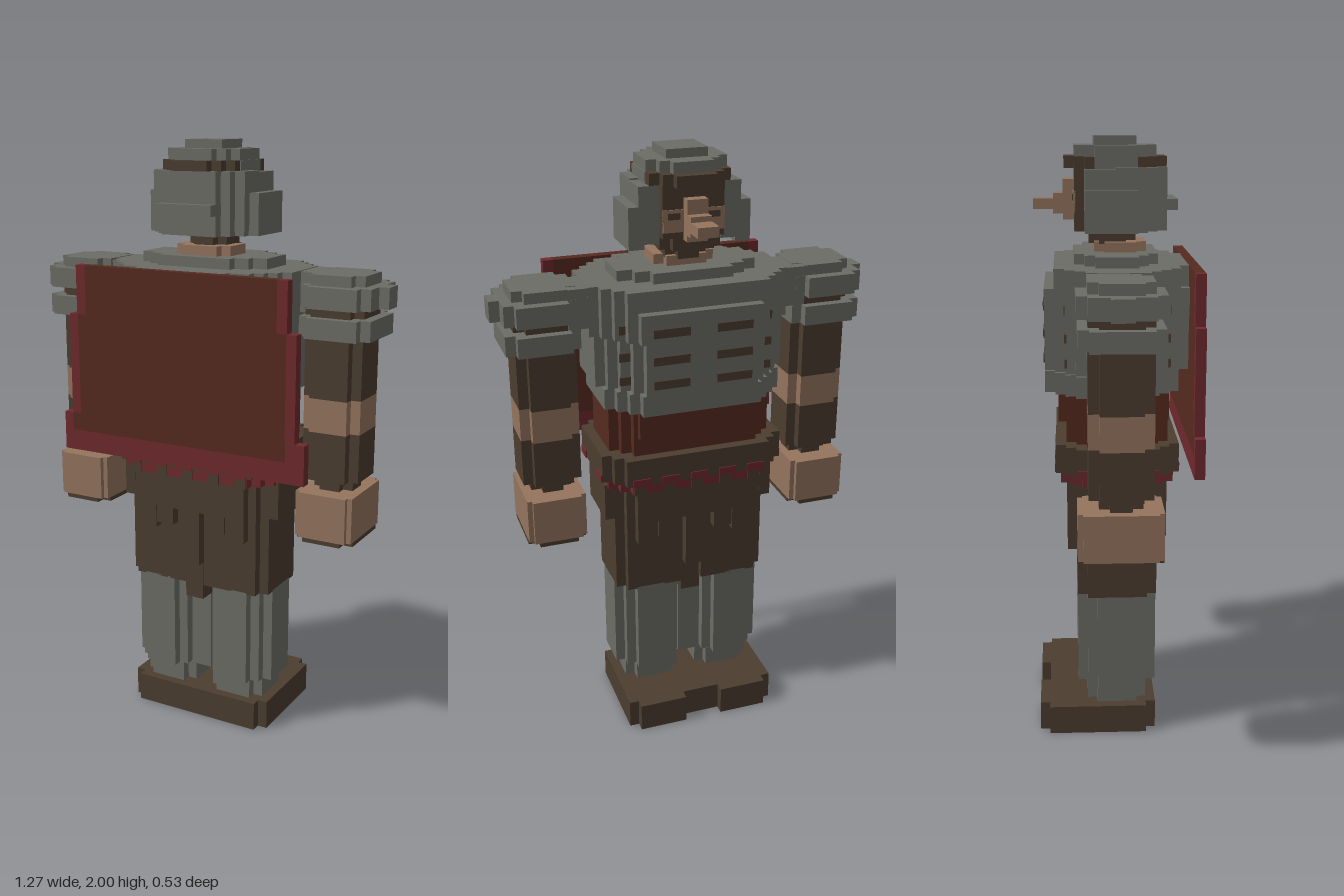
import * as THREE from 'three';

const V = 0.033; // voxel size
const mat = (name, color) => {
  const m = new THREE.MeshStandardMaterial({ color });
  m.name = name;
  return m;
};

export function createModel() {
  const grey = mat('armour grey', 0x6d6d67);
  const brown = mat('leather brown', 0x4c3d2f);
  const skin = mat('skin tan', 0x94745e);
  const rust = mat('rust cloth', 0x552a1f);
  const crimson = mat('crimson trim', 0x6f292d);
  const model = new THREE.Group();
  model.name = 'caped warrior';

  // Box given by its bounds
  const box = (name, m, x0, x1, y0, y1, z0, z1) => {
    const mesh = new THREE.Mesh(new THREE.BoxGeometry(x1 - x0, y1 - y0, z1 - z0), m);
    mesh.position.set((x0 + x1) / 2, (y0 + y1) / 2, (z0 + z1) / 2);
    mesh.name = name;
    model.add(mesh);
  };
  const boxPair = (name, m, x0, x1, ...rest) => {
    box(name + 'Left', m, x0, x1, ...rest);
    box(name + 'Right', m, -x1, -x0, ...rest);
  };

  // Slab with stair-stepped corners: n steps of sx by sz voxels
  const slab = (name, m, x0, x1, y0, y1, z0, z1, n = 1, sx = 1, sz = 1) => {
    const hx = (x1 - x0) / 2, hz = (z1 - z0) / 2;
    const corner = [];
    for (let i = 0; i <= n; i++) {
      corner.push([hx - i * sx * V, hz - (n - i) * sz * V]);
      if (i < n) corner.push([hx - (i + 1) * sx * V, hz - (n - i) * sz * V]);
    }
    const back = [...corner].reverse();
    const points = [
      ...corner.map(([x, z]) => [x, z]), ...back.map(([x, z]) => [-x, z]),
      ...corner.map(([x, z]) => [-x, -z]), ...back.map(([x, z]) => [x, -z]),
    ].map(([x, z]) => new THREE.Vector2(x, z));
    const geo = new THREE.ExtrudeGeometry(new THREE.Shape(points), { depth: y1 - y0, bevelEnabled: false });
    geo.rotateX(-Math.PI / 2);
    const mesh = new THREE.Mesh(geo, m);
    mesh.position.set((x0 + x1) / 2, y0, (z0 + z1) / 2);
    mesh.name = name;
    model.add(mesh);
  };
  const slabPair = (name, m, x0, x1, ...rest) => {
    slab(name + 'Left', m, x0, x1, ...rest);
    slab(name + 'Right', m, -x1, -x0, ...rest);
  };

  // Boots with a notch between the toes
  slabPair('boot', brown, 0.033, 0.267, 0, 0.1, -0.265, 0.132);
  box('bootBridge', brown, -0.068, 0.068, 0, 0.1, -0.232, 0.132);

  // Greaves
  slabPair('ankle', grey, 0.034, 0.232, 0.1, 0.17, -0.1, 0.1);
  slabPair('greave', grey, 0.018, 0.267, 0.17, 0.51, -0.132, 0.132, 2);
  box('greaveJoin', grey, -0.034, 0.034, 0.17, 0.51, -0.08, 0.08);
  boxPair('shinRidge', grey, 0.1, 0.2, 0.25, 0.51, -0.132, 0.132);

  // Trousers and hanging skirt strips
  slabPair('trouser', brown, 0, 0.267, 0.505, 0.8, -0.132, 0.132, 1);
  slab('hips', brown, -0.267, 0.267, 0.78, 0.91, -0.165, 0.165, 2);
  boxPair('hipFlap', brown, 0.26, 0.3, 0.78, 0.91, -0.1, 0.1);
  box('crotchTip', brown, -0.034, 0.034, 0.455, 0.8, -0.11, 0.136);
  [[0, 0.59, 0.035], [0.1, 0.72, 0.032], [0.17, 0.7, 0.035]].forEach(([x, y, w]) => {
    for (const s of x ? [-1, 1] : [1])
      box('skirtStrip', brown, s * x - w, s * x + w, y, 0.9, -0.165, 0.165);
  });

  // Fringe and belt
  slab('fringe', crimson, -0.29, 0.29, 0.9, 0.945, -0.18, 0.18, 2);
  for (let i = -2; i <= 2; i++)
    box('fringeGap', brown, i * 0.1 - 0.02, i * 0.1 + 0.02, 0.898, 0.94, -0.184, 0.184);
  slab('belt', brown, -0.315, 0.315, 0.94, 1.035, -0.2, 0.2, 2);
  for (let i = -2; i <= 2; i++)
    for (const z of [-0.2, 0.2])
      box('beltTooth', crimson, i * 0.1 - 0.03, i * 0.1 + 0.03, 0.938, 0.965, z - 0.004, z + 0.004);
  for (const z of [-0.1, 0.1])
    boxPair('beltSideTooth', crimson, 0.312, 0.319, 0.938, 0.965, z - 0.03, z + 0.03);

  // Waist cloth
  slab('waist', rust, -0.28, 0.28, 1.03, 1.21, -0.165, 0.165, 2);
  box('waistFold', rust, -0.2, 0.2, 1.1, 1.21, -0.19, 0.17);

  // Breastplate in tiers
  slab('plateLower', grey, -0.3, 0.3, 1.2, 1.27, -0.232, 0.2, 3);
  slab('plateMiddle', grey, -0.32, 0.32, 1.27, 1.44, -0.232, 0.232, 4);
  slab('plateUpper', grey, -0.335, 0.335, 1.44, 1.535, -0.232, 0.232, 4);
  slab('plateTop', grey, -0.335, 0.335, 1.535, 1.602, -0.2, 0.2, 3);
  box('plateBack', grey, -0.165, 0.165, 1.27, 1.602, 0.1, 0.234);
  slab('collar', grey, -0.232, 0.232, 1.6, 1.636, -0.135, 0.135, 2, 1.5, 1);

  // Leather gaps between the ribs
  [1.29, 1.37, 1.46].forEach((y) => {
    for (const z of [-0.232, 0.232])
      boxPair('ribGap', brown, 0.045, 0.165, y, y + 0.028, z - 0.004, z + 0.004);
    for (const z of [-0.165, 0.165])
      boxPair('sideGap', brown, 0.2, 0.257, y, y + 0.028, z - 0.004, z + 0.004);
  });

  // Pauldrons
  boxPair('shoulderBridge', grey, 0.3, 0.4, 1.47, 1.6, -0.1, 0.035);
  slabPair('pauldronTop', grey, 0.365, 0.567, 1.565, 1.602, -0.1, 0.1);
  slabPair('pauldronRim', grey, 0.368, 0.6, 1.5, 1.568, -0.134, 0.134);
  boxPair('pauldronPoint', grey, 0.59, 0.633, 1.5, 1.568, -0.035, 0.035);
  slabPair('pauldronStrap', brown, 0.368, 0.567, 1.468, 1.502, -0.1, 0.1);
  slabPair('pauldronLower', grey, 0.36, 0.6, 1.405, 1.47, -0.13, 0.13);

  // Arms and fists
  slabPair('sleeve', brown, 0.37, 0.565, 1.21, 1.406, -0.1, 0.1);
  slabPair('elbow', skin, 0.37, 0.565, 1.1, 1.21, -0.1, 0.1);
  slabPair('bracer', brown, 0.37, 0.565, 0.94, 1.1, -0.1, 0.1);
  slabPair('wrist', brown, 0.4, 0.535, 0.9, 0.94, -0.068, 0.068);
  slabPair('hand', skin, 0.37, 0.567, 0.75, 0.902, -0.134, 0.132, 1, 0.5, 0.5);
  slabPair('palm', brown, 0.37, 0.567, 0.736, 0.75, -0.134, 0.132);

  // Neck and beard
  slab('neckSkin', skin, -0.1, 0.1, 1.63, 1.668, -0.068, 0.1);
  slab('neck', brown, -0.068, 0.068, 1.66, 1.74, -0.085, 0.068);
  slab('chin', brown, -0.1, 0.1, 1.7, 1.76, -0.132, 0.06);

  // Helmet, open at the face
  slab('helmetBack', grey, -0.165, 0.165, 1.705, 1.84, -0.06, 0.165, 2);
  box('helmetGuard', grey, -0.1, 0.1, 1.77, 1.805, 0.1, 0.2);
  boxPair('cheekPlate', grey, 0.15, 0.2, 1.705, 1.838, -0.1, 0.068);
  boxPair('cheekInner', grey, 0.1, 0.167, 1.72, 1.9, -0.1, 0.1);
  slab('helmetCrown', grey, -0.165, 0.165, 1.835, 1.905, -0.068, 0.165, 2);
  slab('helmetBand', brown, -0.132, 0.132, 1.9, 1.937, -0.165, 0.165, 2);
  boxPair('bandSide', grey, 0.09, 0.136, 1.9, 1.937, -0.068, 0.068);
  slab('helmetDome', grey, -0.132, 0.132, 1.935, 1.972, -0.132, 0.132, 2);
  slab('helmetCap', grey, -0.068, 0.068, 1.97, 2, -0.068, 0.068, 0);

  // Face
  box('face', brown, -0.1, 0.1, 1.74, 1.905, -0.132, 0);
  box('cheeks', skin, -0.1, 0.1, 1.76, 1.83, -0.136, -0.128);
  box('noseBridge', skin, -0.034, 0.034, 1.735, 1.865, -0.168, -0.1);
  box('noseBase', skin, -0.034, 0.034, 1.755, 1.82, -0.2, -0.16);
  box('noseTip', skin, -0.034, 0.034, 1.77, 1.803, -0.265, -0.19);
  boxPair('eye', brown, 0.045, 0.085, 1.8, 1.82, -0.139, -0.134);

  // Cape: field with trim down both sides and along the hem
  const z0 = 0.232, z1 = 0.265;
  box('capeField', rust, -0.335, 0.365, 1.44, 1.602, z0, z1);
  box('capeField', rust, -0.367, 0.398, 1.1, 1.44, z0, z1);
  box('capeField', rust, -0.4, 0.4, 1.04, 1.1, z0, z1);
  box('capeTrimRight', crimson, -0.37, -0.335, 1.44, 1.602, z0, z1);
  box('capeTrimLeft', crimson, 0.365, 0.4, 1.44, 1.602, z0, z1);
  box('capeTrimRight', crimson, -0.4, -0.367, 1.1, 1.44, z0, z1);
  box('capeTrimLeft', crimson, 0.398, 0.432, 1.1, 1.44, z0, z1);
  box('capeTrimRight', crimson, -0.433, -0.4, 1.04, 1.1, z0, z1);
  box('capeTrimLeft', crimson, 0.4, 0.465, 1.04, 1.1, z0, z1);
  box('capeHem', crimson, -0.433, 0.465, 0.97, 1.04, z0, z1);

  return model;
}
